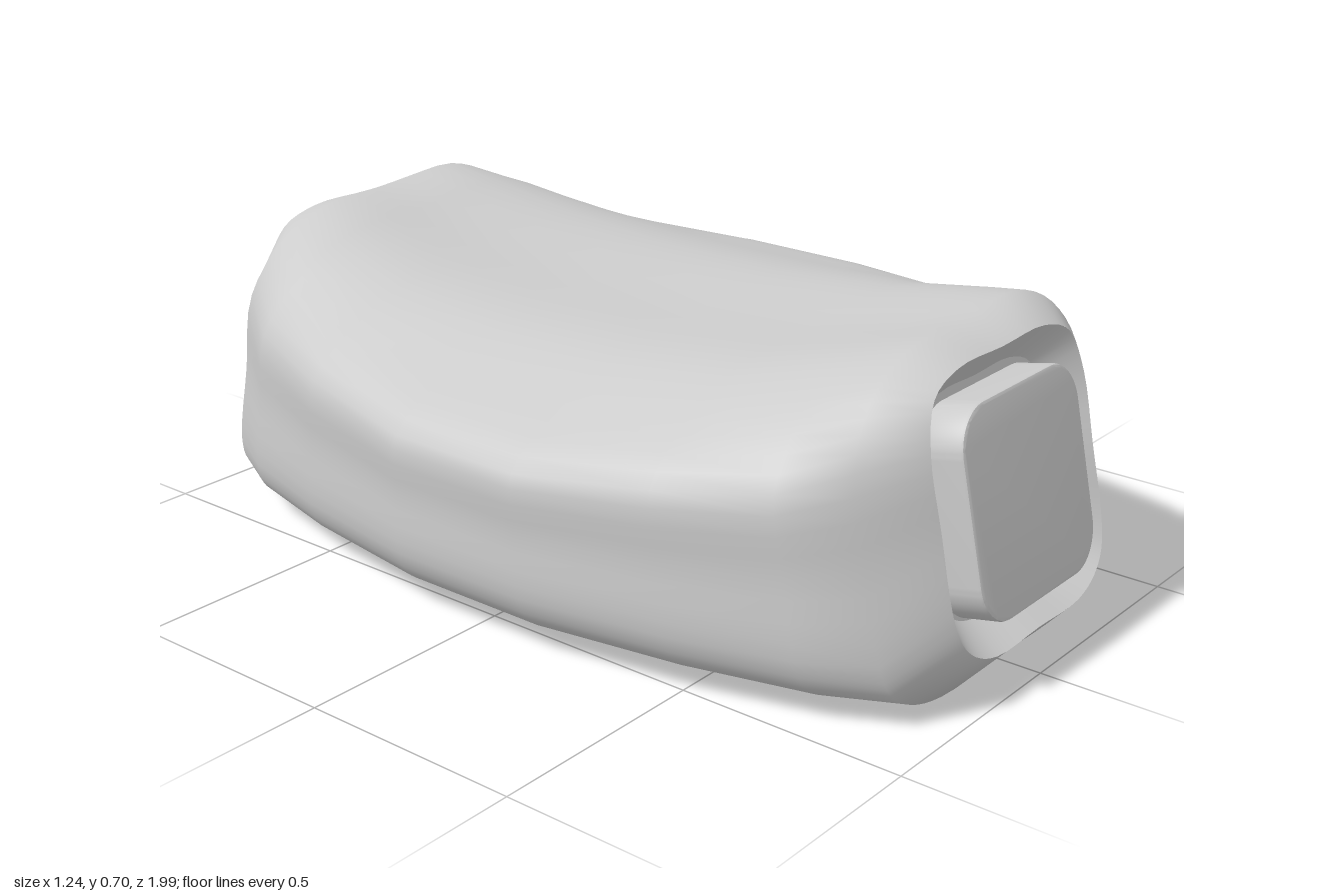
import * as THREE from 'three';
import { toCreasedNormals } from 'three/addons/utils/BufferGeometryUtils.js';

const material = new THREE.MeshStandardMaterial({ color: 0xcccccc });
const N = 72; // points around each cross-section
const TILT = 0.211; // lean of the end faces
const END_Y = 0.375;
const endZ = (y) => 0.99 - 0.214 * (y - 0.1);

// Closed cross-section: half-width w, flat top half-width f, bottom b,
// bulge of the upper corner, top and shoulder heights for left (+x) and right (-x)
function section({ w, f, b, bulge, top, shoulder }) {
  const side = (k, i) => [
    [0.55 * w, b], [0.8 * w, b + 0.025], [0.94 * w, b + 0.065], [w, b + 0.13],
    [w * 1.002, (b + 0.13 + shoulder[i]) / 2], [w, shoulder[i]],
    [(w + f) / 2 + bulge, (shoulder[i] + top[i]) / 2 + bulge], [f, top[i]],
  ].map(([x, y]) => new THREE.Vector3(k * x, y, 0));
  const points = [
    new THREE.Vector3(0, b, 0), ...side(1, 0),
    new THREE.Vector3(0, (top[0] + top[1]) / 2, 0), ...side(-1, 1).reverse(),
  ];
  const curve = new THREE.CatmullRomCurve3(points, true, 'centripetal');
  return Array.from({ length: N }, (_, j) => curve.getPoint(j / N));
}

// Skin a list of equal-length closed rings
function loft(rings) {
  const position = rings.flat().flatMap((p) => [p.x, p.y, p.z]);
  const index = [];
  for (let i = 0; i < rings.length - 1; i++) {
    for (let j = 0; j < N; j++) {
      const k = (j + 1) % N;
      const a = i * N + j, b = i * N + k, c = a + N, d = b + N;
      index.push(a, b, d, a, d, c);
    }
  }
  const geometry = new THREE.BufferGeometry();
  geometry.setAttribute('position', new THREE.Float32BufferAttribute(position, 3));
  geometry.setIndex(index);
  geometry.computeVertexNormals();
  return geometry;
}

function addMesh(parent, name, geometry) {
  const mesh = new THREE.Mesh(geometry, material);
  mesh.name = name;
  parent.add(mesh);
}

function roundedSquare(h, r) {
  const shape = new THREE.Shape();
  const c = h - r;
  shape.absarc(c, c, r, 0, Math.PI / 2);
  shape.absarc(-c, c, r, Math.PI / 2, Math.PI);
  shape.absarc(-c, -c, r, Math.PI, Math.PI * 1.5);
  shape.absarc(c, -c, r, Math.PI * 1.5, Math.PI * 2);
  shape.closePath();
  return shape;
}

export function createModel() {
  const model = new THREE.Group();
  model.name = 'pod';

  // Stations from the middle to one end; s is the fraction of the way out
  const rim = { s: 1, w: 0.285, f: 0.16, b: 0.1, bulge: 0.028, top: [0.655, 0.655], shoulder: [0.53, 0.53] };
  const stations = [
    { s: 0.17, w: 0.608, f: 0.27, b: 0.005, bulge: 0.012, top: [0.597, 0.56], shoulder: [0.515, 0.4] },
    { s: 0.5, w: 0.555, f: 0.26, b: 0.007, bulge: 0.018, top: [0.622, 0.59], shoulder: [0.51, 0.43] },
    { s: 0.76, w: 0.485, f: 0.23, b: 0.01, bulge: 0.025, top: [0.67, 0.645], shoulder: [0.52, 0.46] },
    { s: 0.905, w: 0.41, f: 0.2, b: 0.015, bulge: 0.025, top: [0.698, 0.68], shoulder: [0.54, 0.51] },
    rim,
  ];
  const place = (station, sign) => section(station).map((p) => p.setZ(sign * station.s * endZ(p.y)));

  // Body: long saddle-topped shell, the same towards both ends
  const rings = [
    ...stations.map((st) => place(st, -1)).reverse(),
    ...stations.map((st) => place(st, 1)),
  ];
  addMesh(model, 'body', loft(rings));

  // Recess rings lie in the plane of the end face: rim, floor edge, centre
  const recessRing = (scale, depth) => section(rim).map((p) => new THREE.Vector3(
    p.x * scale, ((p.y - END_Y) / Math.cos(TILT)) * scale, -depth));
  const recess = toCreasedNormals(
    loft([recessRing(1, 0), recessRing(0.8, 0.07), recessRing(0.001, 0.07)]), 0.5);

  // Button with a fine bevelled front edge
  const button = toCreasedNormals(new THREE.ExtrudeGeometry(roundedSquare(0.209, 0.085), {
    depth: 0.08, bevelThickness: 0.007, bevelSize: 0.007, bevelSegments: 2, curveSegments: 10,
  }).translate(0, 0, -0.064), 0.5);

  for (const [name, turn] of [['front', 0], ['back', Math.PI]]) {
    const end = new THREE.Group();
    end.name = name + 'End';
    const face = new THREE.Group();
    face.name = name + 'Face';
    face.position.set(0, END_Y, endZ(END_Y));
    face.rotation.x = -TILT;
    addMesh(face, name + 'Recess', recess);
    addMesh(face, name + 'Button', button);
    end.add(face);
    end.rotation.y = turn;
    model.add(end);
  }
  return model;
}
